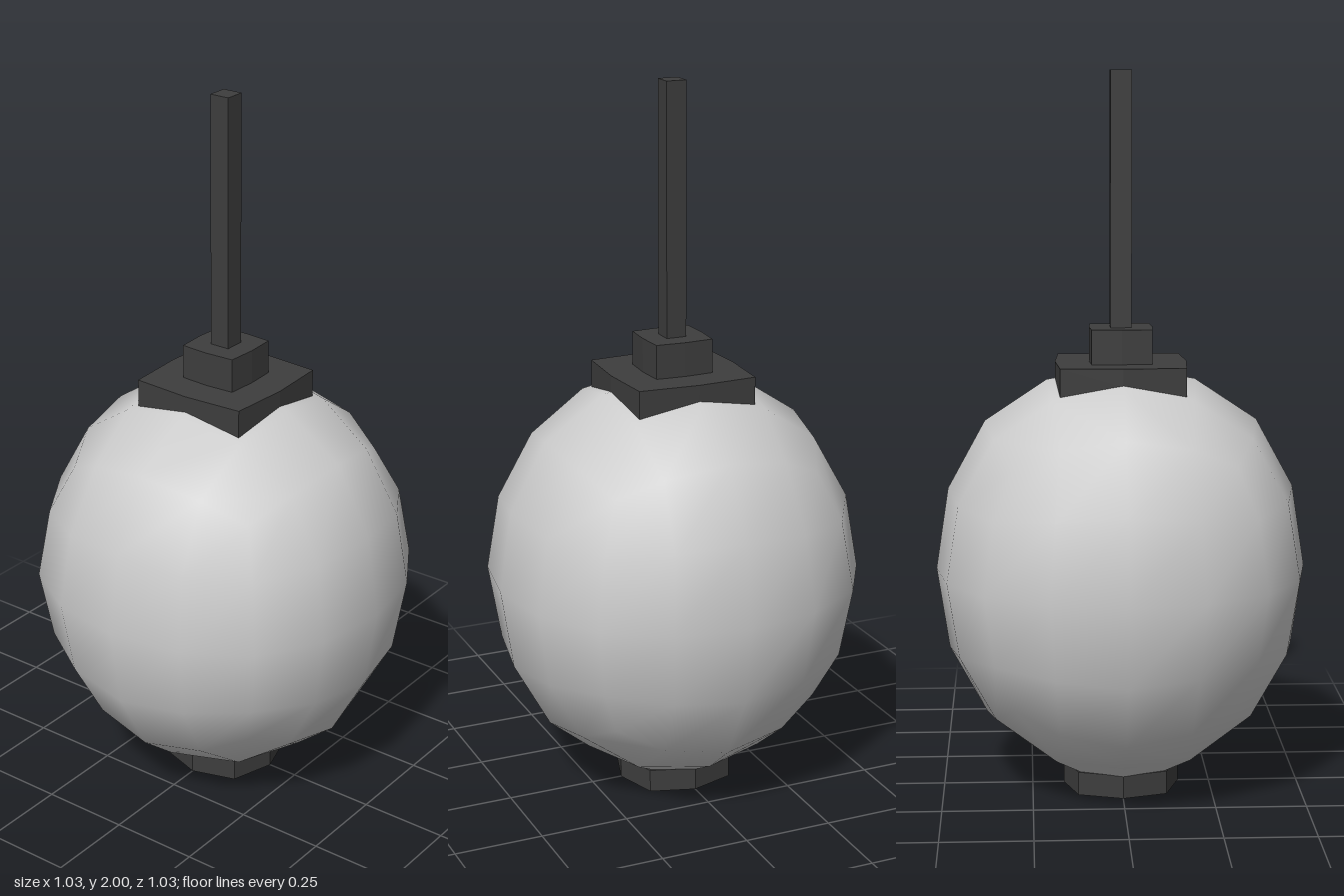
import * as THREE from 'three';
import { mergeVertices } from 'three/addons/utils/BufferGeometryUtils.js';

const lightGrey = new THREE.MeshStandardMaterial({ color: 0xcccccc });
lightGrey.name = 'lightGrey';
const darkGrey = new THREE.MeshStandardMaterial({ color: 0x3d3d3d });
darkGrey.name = 'darkGrey';

function add(group, name, geometry, material) {
  const mesh = new THREE.Mesh(geometry, material);
  mesh.name = name;
  group.add(mesh);
}

// Rounded cube: each grid vertex is placed by how many of its coordinates
// lie on the cube surface (full) and halfway to the edge (half).
function bodyGeometry() {
  const rule = {
    10: [1, 0], 11: [0.933, 0.399], 20: [0.732, 0],
    12: [0.87, 0.371], 21: [0.682, 0.344], 30: [0.58, 0],
  };
  let geo = new THREE.BoxGeometry(2, 2, 2, 4, 4, 4);
  geo.deleteAttribute('uv');
  geo.deleteAttribute('normal');
  const pos = geo.attributes.position;
  for (let i = 0; i < pos.count; i++) {
    const c = [pos.getX(i), pos.getY(i), pos.getZ(i)];
    const full = c.filter((v) => Math.abs(v) > 0.9).length;
    const half = c.filter((v) => Math.abs(Math.abs(v) - 0.5) < 0.1).length;
    const [a, b] = rule[full * 10 + half];
    const p = c.map((v) => Math.abs(v) < 0.1 ? 0 : Math.sign(v) * (Math.abs(v) > 0.9 ? a : b));
    let x = p[0] * 0.515, y = 0.625 + p[1] * 0.568, z = p[2] * 0.515;
    // Round ring around the bottom opening, centre hidden in the foot
    if (c[1] < -0.9 && full === 1) {
      const r = Math.hypot(x, z);
      y = half ? 0.115 : 0.05;
      if (half) {
        x *= 0.26 / r;
        z *= 0.26 / r;
      }
    }
    pos.setXYZ(i, x, y, z);
  }
  geo = mergeVertices(geo, 1e-4);
  geo.computeVertexNormals();
  return geo;
}

// Eight-point block with bulging sides; the corners of its underside may droop
function padGeometry(mid, corner, yMid, yCorner, yTop) {
  const points = [
    [mid, 0], [corner, corner], [0, mid], [-corner, corner],
    [-mid, 0], [-corner, -corner], [0, -mid], [corner, -corner],
  ].map(([x, y]) => new THREE.Vector2(x, y));
  const geo = new THREE.ExtrudeGeometry(new THREE.Shape(points), { depth: 1, bevelEnabled: false });
  geo.rotateX(-Math.PI / 2);
  const pos = geo.attributes.position;
  for (let i = 0; i < pos.count; i++) {
    const isCorner = Math.abs(pos.getX(i)) > 0.01 && Math.abs(pos.getZ(i)) > 0.01;
    pos.setY(i, pos.getY(i) > 0.5 ? yTop : isCorner ? yCorner : yMid);
  }
  geo.computeVertexNormals();
  return geo;
}

export function createModel() {
  const model = new THREE.Group();
  model.name = 'lantern';

  add(model, 'body', bodyGeometry(), lightGrey);

  // Tapered band between body and foot
  const band = new THREE.CylinderGeometry(0.26, 0.163, 0.052, 8, 1, true);
  band.translate(0, 0.089, 0);
  add(model, 'lowerBand', band, lightGrey);

  add(model, 'foot', padGeometry(0.162, 0.123, 0, 0, 0.065), darkGrey);

  // Stepped cap and rod
  add(model, 'capLower', padGeometry(0.182, 0.171, 1.155, 1.122, 1.205), darkGrey);
  add(model, 'capUpper', padGeometry(0.088, 0.083, 1.2, 1.2, 1.3), darkGrey);
  const rod = new THREE.BoxGeometry(0.058, 0.71, 0.058);
  rod.translate(0, 1.645, 0);
  add(model, 'rod', rod, darkGrey);

  return model;
}
